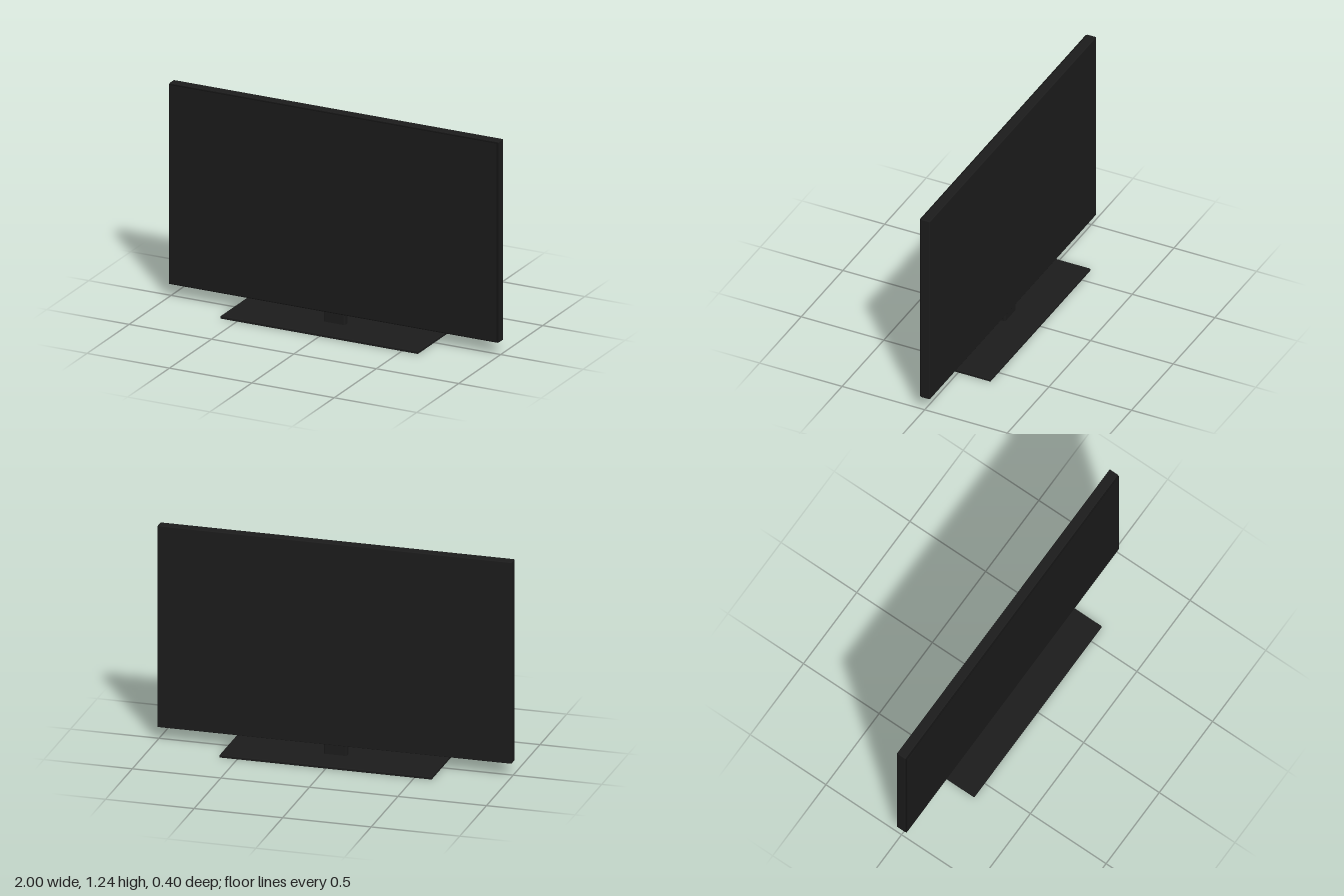
import * as THREE from 'three';
import { RoundedBoxGeometry } from 'three/addons/geometries/RoundedBoxGeometry.js';
import { mergeVertices } from 'three/addons/utils/BufferGeometryUtils.js';

function material(name, color) {
  const m = new THREE.MeshStandardMaterial({ color });
  m.name = name;
  return m;
}

export function createModel() {
  const group = new THREE.Group();
  group.name = 'television';
  const casingBlack = material('casing black', 0x1c1c1c);
  const bezelBlack = material('bezel black', 0x121212);
  const screenBlack = material('screen black', 0x1a1a1a);

  // Adds a mesh centred at the given height and depth
  const add = (name, geometry, mat, y, z) => {
    const mesh = new THREE.Mesh(geometry, mat);
    mesh.name = name;
    mesh.position.set(0, y, z);
    group.add(mesh);
  };
  const slab = (w, h, d, r) => new RoundedBoxGeometry(w, h, d, 2, r);

  // Panel: casing with a thin dark bezel on its front
  const panelY = 0.655;
  add('casing', slab(2, 1.16, 0.056, 0.004), casingBlack, panelY, -0.003);
  add('bezel', slab(1.996, 1.156, 0.01, 0.003), bezelBlack, panelY, 0.027);

  // Screen: thin plate with normals shared across its corners for a soft sheen
  const plate = new THREE.BoxGeometry(1.984, 1.144, 0.004);
  plate.deleteAttribute('normal');
  plate.deleteAttribute('uv');
  const screen = mergeVertices(plate);
  screen.computeVertexNormals();
  add('screen', screen, screenBlack, panelY, 0.031);

  // Stand: short neck on a wide flat base
  add('neck', slab(0.13, 0.076, 0.036, 0.008), casingBlack, 0.046, 0.002);
  add('base', slab(1.2, 0.016, 0.396, 0.004), casingBlack, 0.008, 0.001);

  return group;
}
